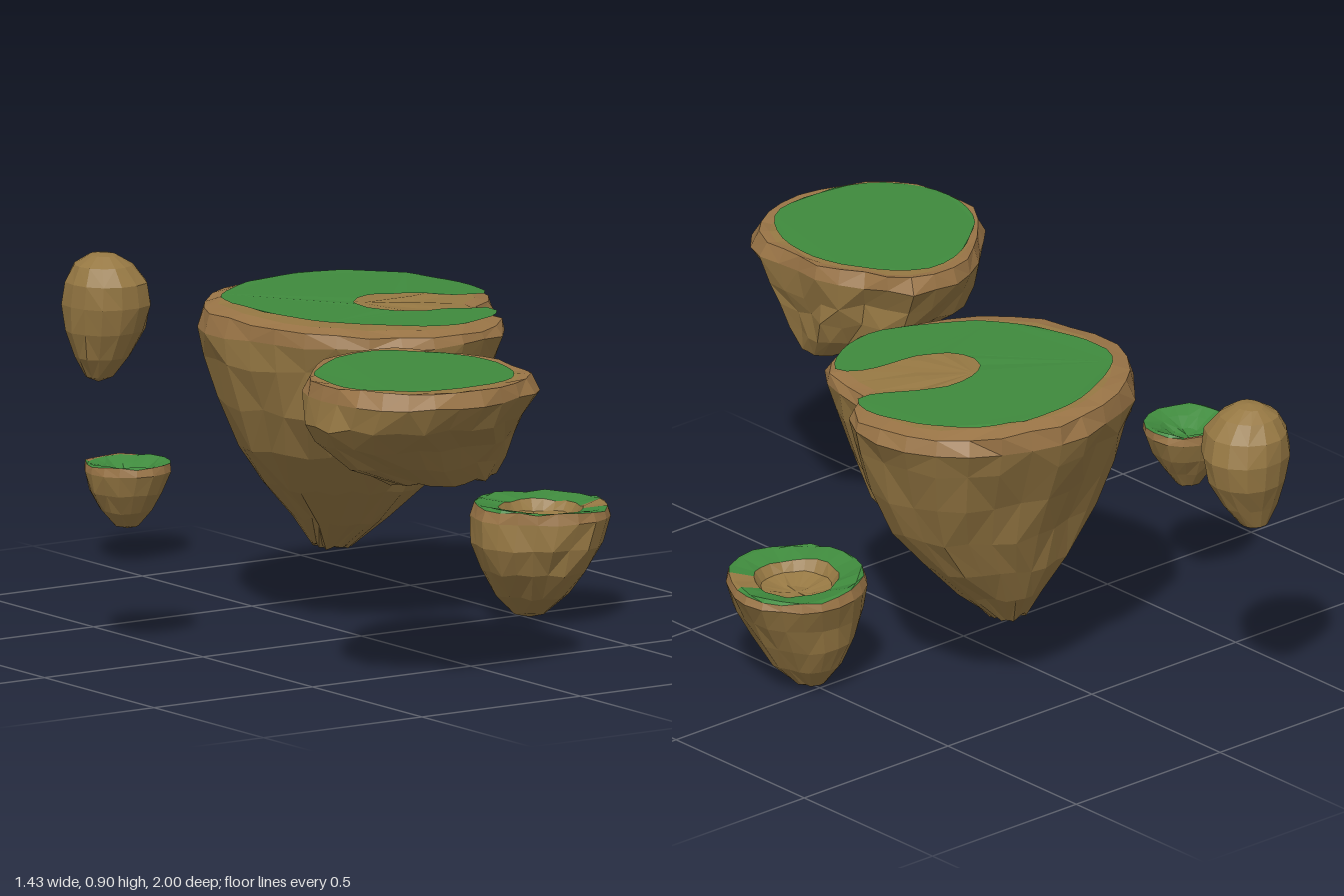
import * as THREE from 'three';

const flat = (name, color) => {
  const m = new THREE.MeshStandardMaterial({ color });
  m.name = name;
  return m;
};

// Small seeded generator for rocky unevenness
function seeded(seed) {
  let s = seed;
  return () => ((s = (s * 16807) % 2147483647) / 2147483647) * 2 - 1;
}

const ringOutline = (n = 8) => Array.from({ length: n }, (_, i) => {
  const a = (i / n) * Math.PI * 2;
  return [Math.cos(a), Math.sin(a)];
});

const smoothLoop = (pts, n) => new THREE.CatmullRomCurve3(
  pts.map(([x, z]) => new THREE.Vector3(x, 0, z)), true, 'centripetal').getSpacedPoints(n).slice(0, n);

// Lofts an outline through boxes [y, x0, x1, z0, z1] from tip to rim, then
// through top rings [y, scale]. paint(topBand, angle) picks each band's material.
function island({ name, outline, sides, tops = [], n, rough, seed, paint, tilt = () => 0 }, base) {
  const rand = seeded(seed);
  const loop = smoothLoop(outline, n);
  const box = new THREE.Box3().setFromPoints(loop);
  const c = box.getCenter(new THREE.Vector3());
  const half = box.getSize(new THREE.Vector3()).multiplyScalar(0.5);
  const rim = sides[sides.length - 1];
  const cx = (rim[1] + rim[2]) / 2, cz = (rim[3] + rim[4]) / 2;

  const rings = sides.map(([y, x0, x1, z0, z1], i) => loop.map((p) => {
    const tip = x0 === x1;
    const k = tip ? 0 : 1 + rand() * rough;
    const dy = tip ? 0 : rand() * rough * 0.28 * (rim[2] - rim[1]);
    const edge = i === sides.length - 1 ? 0.5 : 1;
    const s = 1 + (k - 1) * edge;
    return new THREE.Vector3(
      (x0 + x1) / 2 + ((p.x - c.x) / half.x) * ((x1 - x0) / 2) * s,
      Math.max(y + dy * edge, sides[0][0]),
      (z0 + z1) / 2 + ((p.z - c.z) / half.z) * ((z1 - z0) / 2) * s);
  }));
  for (const [y, s] of tops) {
    rings.push(loop.map((p) => {
      const k = s * (1 + rand() * 0.02);
      const x = cx + ((p.x - c.x) / half.x) * ((rim[2] - rim[1]) / 2) * k;
      const z = cz + ((p.z - c.z) / half.z) * ((rim[4] - rim[3]) / 2) * k;
      return new THREE.Vector3(x, y + tilt(x, z) + rand() * 0.004 * (s > 0 ? 1 : 0), z);
    }));
  }

  const faces = new Map();
  const tri = new THREE.Triangle();
  const add = (mat, ...pts) => {
    tri.set(...pts);
    if (tri.getArea() < 1e-8) return;
    if (!faces.has(mat)) faces.set(mat, []);
    pts.forEach((p) => faces.get(mat).push(p.x, p.y, p.z));
  };
  for (let i = 0; i < rings.length - 1; i++) {
    for (let j = 0; j < n; j++) {
      const k = (j + 1) % n;
      const a = rings[i][j], b = rings[i][k], u = rings[i + 1][j], v = rings[i + 1][k];
      const band = i - (sides.length - 1);
      const mat = band < 0 ? base : paint(band, Math.atan2(loop[j].z - c.z, loop[j].x - c.x));
      if (rand() > 0) { add(mat, a, u, b); add(mat, b, u, v); }
      else { add(mat, a, u, v); add(mat, a, v, b); }
    }
  }

  const group = new THREE.Group();
  group.name = name;
  for (const [mat, pos] of faces) {
    const geo = new THREE.BufferGeometry();
    geo.setAttribute('position', new THREE.Float32BufferAttribute(pos, 3));
    geo.computeVertexNormals();
    const mesh = new THREE.Mesh(geo, mat);
    mesh.name = `${name} ${mat.name}`;
    group.add(mesh);
  }
  return group;
}

// Thin faceted grass sheet following the island top
function grassSheet(pts, n, height, mat, seed) {
  const rand = seeded(seed);
  const shape = new THREE.Shape(smoothLoop(pts, n).map((p) => new THREE.Vector2(p.x, -p.z)));
  const geo = new THREE.ShapeGeometry(shape).rotateX(-Math.PI / 2);
  const pos = geo.attributes.position;
  for (let i = 0; i < pos.count; i++) pos.setY(i, height(pos.getX(i), pos.getZ(i)) + rand() * 0.002);
  const flatGeo = geo.toNonIndexed();
  flatGeo.computeVertexNormals();
  const mesh = new THREE.Mesh(flatGeo, mat);
  mesh.name = 'grass sheet';
  return mesh;
}

export function createModel() {
  const model = new THREE.Group();
  model.name = 'floating islands';
  const rock = flat('rock', 0x967843);
  const rimSoil = flat('rim soil', 0x997446);
  const grass = flat('grass', 0x3f8a3d);

  // Main island with a curling dirt path
  const mainTilt = (x, z) => -0.03 * (z + 0.17) - 0.02 * (x - 0.12);
  const main = island({
    name: 'main island', n: 30, rough: 0.035, seed: 11, tilt: mainTilt,
    outline: [[0.19, -0.585], [0.42, -0.49], [0.53, -0.32], [0.52, -0.13], [0.42, -0.05], [0.4, 0.05],
      [0.37, 0.14], [0.14, 0.235], [-0.08, 0.16], [-0.235, 0], [-0.28, -0.24], [-0.26, -0.35],
      [-0.13, -0.5], [0.03, -0.56]],
    sides: [[0.18, 0.1, 0.1, -0.28, -0.28], [0.19, 0.05, 0.15, -0.33, -0.22], [0.27, -0.01, 0.23, -0.38, -0.1],
      [0.37, -0.11, 0.33, -0.43, 0], [0.48, -0.2, 0.42, -0.46, 0.09], [0.6, -0.25, 0.47, -0.51, 0.18],
      [0.72, -0.28, 0.51, -0.56, 0.22], [0.79, -0.29, 0.53, -0.59, 0.24]],
    tops: [[0.828, 0.97], [0.838, 0.86], [0.84, 0.4], [0.84, 0]],
    paint: (band) => (band < 2 ? rimSoil : rock),
  }, rock);
  main.add(grassSheet([[-0.2, -0.16], [-0.2, -0.35], [-0.09, -0.45], [0.08, -0.52], [0.25, -0.52],
    [0.4, -0.43], [0.47, -0.29], [0.49, -0.18], [0.46, -0.1], [0.385, -0.115], [0.295, -0.18],
    [0.18, -0.21], [0.085, -0.16], [0.08, -0.07], [0.16, 0], [0.29, 0.02], [0.37, 0.07],
    [0.32, 0.14], [0.15, 0.2], [-0.02, 0.12], [-0.13, 0.02]], 70,
  (x, z) => 0.849 + mainTilt(x, z), grass, 5));
  model.add(main);

  // Broad shallow island at the front
  const broad = island({
    name: 'front island', n: 28, rough: 0.05, seed: 29,
    outline: [[-0.29, 0.35], [-0.14, 0.37], [-0.09, 0.49], [-0.025, 0.56], [-0.025, 0.72], [-0.03, 0.85],
      [-0.13, 0.94], [-0.29, 0.99], [-0.45, 0.96], [-0.55, 0.89], [-0.61, 0.76], [-0.59, 0.58],
      [-0.47, 0.45], [-0.38, 0.38]],
    sides: [[0.545, -0.17, -0.17, 0.68, 0.68], [0.555, -0.38, -0.08, 0.6, 0.8], [0.61, -0.5, -0.06, 0.5, 0.85],
      [0.67, -0.58, -0.05, 0.42, 0.9], [0.73, -0.61, -0.04, 0.39, 0.95], [0.8, -0.61, -0.02, 0.35, 1]],
    tops: [[0.84, 0.95], [0.836, 0.86], [0.832, 0.4], [0.832, 0]],
    paint: (band) => (band < 2 ? rimSoil : rock),
  }, rock);
  broad.add(grassSheet([[-0.55, 0.58], [-0.45, 0.48], [-0.34, 0.41], [-0.22, 0.4], [-0.1, 0.53], [-0.06, 0.66],
    [-0.09, 0.82], [-0.18, 0.93], [-0.31, 0.95], [-0.47, 0.92], [-0.58, 0.78]], 36,
  () => 0.844, grass, 8));
  model.add(broad);

  // Low island with a bare hollow and a gap in its grass ring
  model.add(island({
    name: 'hollow island', n: 22, rough: 0.04, seed: 47,
    outline: [[0.54, -0.12], [0.64, -0.09], [0.71, 0.03], [0.69, 0.13], [0.63, 0.22], [0.54, 0.26],
      [0.4, 0.21], [0.33, 0.1], [0.36, -0.02], [0.45, -0.1]],
    sides: [[0, 0.51, 0.51, 0.03, 0.03], [0.015, 0.46, 0.55, -0.01, 0.08], [0.07, 0.4, 0.6, -0.05, 0.16],
      [0.14, 0.35, 0.64, -0.08, 0.22], [0.21, 0.32, 0.68, -0.1, 0.25], [0.28, 0.325, 0.712, -0.12, 0.26]],
    tops: [[0.305, 0.96], [0.308, 0.9], [0.296, 0.6], [0.27, 0.5], [0.255, 0.2], [0.255, 0]],
    tilt: (x) => -0.03 * (x - 0.52),
    paint: (band, a) => (band < 1 ? rimSoil : band < 3 && !(a > 0.15 && a < 0.7) ? grass : rock),
  }, rock));

  // Little grassy island with a dip
  model.add(island({
    name: 'little island', n: 16, rough: 0.04, seed: 71, outline: ringOutline(),
    sides: [[0.32, -0.6, -0.6, -0.2, -0.2], [0.328, -0.635, -0.57, -0.23, -0.17], [0.37, -0.675, -0.54, -0.26, -0.13],
      [0.42, -0.705, -0.51, -0.29, -0.1], [0.475, -0.718, -0.485, -0.31, -0.08]],
    tops: [[0.497, 0.96], [0.497, 0.88], [0.482, 0.6], [0.462, 0.3], [0.458, 0]],
    paint: (band, a) => (band < 1 || (band < 2 && a < -1 && a > -2.7) ? rimSoil : grass),
  }, rock));

  // Bare floating boulder at the back
  model.add(island({
    name: 'boulder', n: 14, rough: 0.04, seed: 93, outline: ringOutline(),
    sides: [[0.55, -0.2, -0.2, -0.91, -0.91], [0.565, -0.235, -0.16, -0.945, -0.875], [0.62, -0.27, -0.12, -0.965, -0.835],
      [0.69, -0.295, -0.08, -0.99, -0.8], [0.76, -0.305, -0.07, -1, -0.782], [0.82, -0.3, -0.085, -0.99, -0.78],
      [0.865, -0.275, -0.125, -0.965, -0.81], [0.89, -0.235, -0.165, -0.93, -0.85], [0.896, -0.2, -0.2, -0.89, -0.89]],
  }, rock));

  return model;
}
